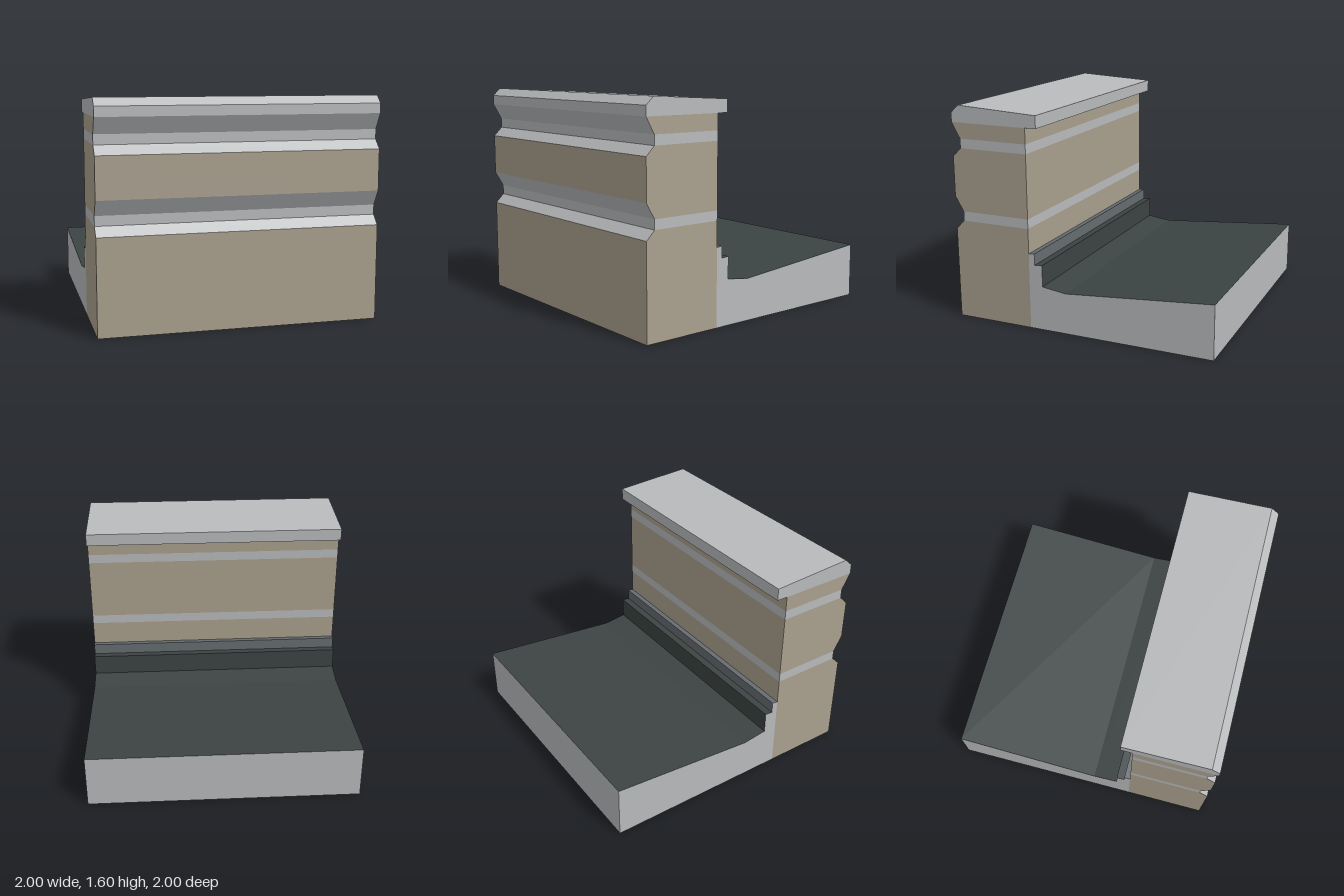
import * as THREE from 'three';

const flat = (name, color) => {
  const m = new THREE.MeshStandardMaterial({ color });
  m.name = name;
  return m;
};

// Prism along x from a counterclockwise [z, y] profile.
// The ends and edges use mats[0]; edgeMats maps an edge index to another material index.
function prism(name, profile, mats, edgeMats = {}) {
  const geo = new THREE.BufferGeometry();
  const pos = [];
  const point = (x, [z, y]) => pos.push(x, y, z);
  const close = (start, mat) => geo.addGroup(start, pos.length / 3 - start, mat);

  // End caps
  const contour = profile.map(([z, y]) => new THREE.Vector2(z, y));
  for (const [a, b, c] of THREE.ShapeUtils.triangulateShape(contour, [])) {
    for (const i of [a, b, c]) point(-1, profile[i]);
    for (const i of [c, b, a]) point(1, profile[i]);
  }
  close(0, 0);

  // Long faces, one per profile edge
  profile.forEach((a, i) => {
    const b = profile[(i + 1) % profile.length];
    const start = pos.length / 3;
    point(1, a); point(1, b); point(-1, b);
    point(1, a); point(-1, b); point(-1, a);
    close(start, edgeMats[i] ?? 0);
  });

  geo.setAttribute('position', new THREE.Float32BufferAttribute(pos, 3));
  geo.computeVertexNormals();
  const mesh = new THREE.Mesh(geo, mats);
  mesh.name = name;
  return mesh;
}

export function createModel() {
  const stone = flat('paleStone', 0xb8babc);
  const brick = flat('tanBrick', 0xa9a08e);
  const membrane = flat('darkRoofMembrane', 0x3c4443);
  const metal = flat('greyFlashing', 0x666c70);

  const model = new THREE.Group();
  model.name = 'parapetSection';

  const back = 0.4, face = 1, groove = 0.935;

  // Brick wall courses, with stone-faced slopes running into the grooves
  const wall = new THREE.Group();
  wall.name = 'wall';
  wall.add(
    prism('lowerBrick', [[back, 0], [face, 0], [face, 0.685], [groove, 0.75], [back, 0.75]],
      [brick, stone], { 2: 1 }),
    prism('middleBrick', [[back, 0.82], [groove, 0.82], [face, 0.93], [face, 1.225],
      [groove, 1.29], [back, 1.29]], [brick, stone], { 1: 1, 3: 1 }),
    prism('upperBrick', [[back, 1.36], [groove, 1.36], [face, 1.475], [back, 1.475]],
      [brick, stone], { 1: 1 }),
  );

  // Stone bands through the wall
  for (const [name, y] of [['lowerBand', 0.75], ['upperBand', 1.29]]) {
    wall.add(prism(name, [[back, y], [groove, y], [groove, y + 0.07], [back, y + 0.07]], [stone]));
  }
  model.add(wall);

  // Sloping coping stone overhanging the roof side
  model.add(prism('coping', [[0.315, 1.475], [face, 1.475], [face, 1.545], [0.94, 1.6], [0.315, 1.567]],
    [stone]));

  // Roof slab with sloped membrane top and stepped flashing against the wall
  model.add(prism('roofSlab', [[-1, 0], [back, 0], [back, 0.565], [0.355, 0.57], [0.355, 0.485],
    [0.295, 0.49], [0.295, 0.33], [0.11, 0.305], [-1, 0.4]],
  [stone, membrane, metal], { 2: 2, 3: 2, 4: 1, 5: 1, 6: 1, 7: 1 }));

  return model;
}
